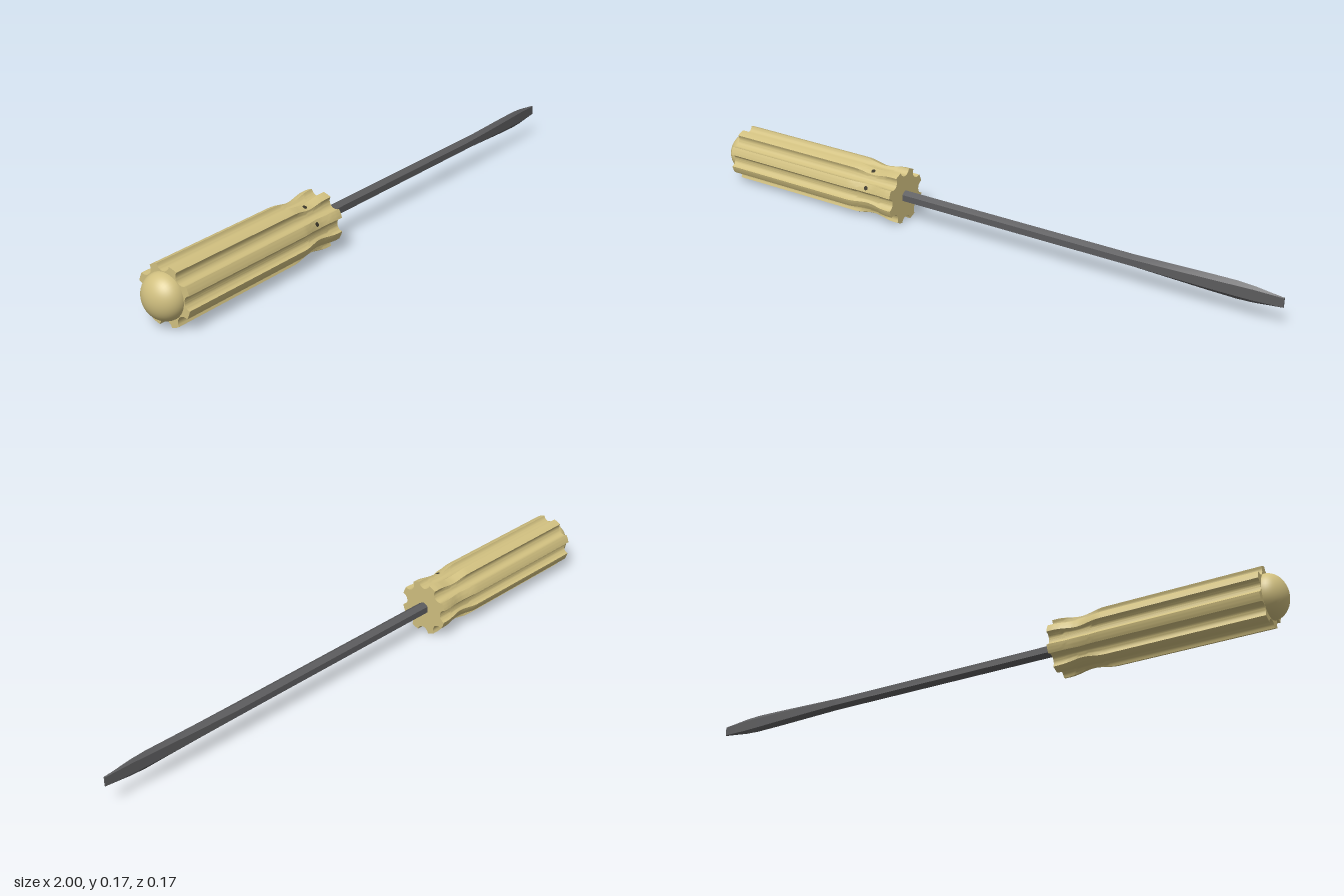
import * as THREE from 'three';
import { toCreasedNormals } from 'three/addons/utils/BufferGeometryUtils.js';

const AXIS_Y = 0.0875;

// Skins a row of cross-sections { x, pts: [[y, z], ...] } along x and caps both ends
function loft(sections, crease) {
  const n = sections[0].pts.length;
  const pos = [], idx = [];
  for (const s of sections) for (const [y, z] of s.pts) pos.push(s.x, y, z);
  for (let i = 0; i < sections.length - 1; i++) {
    for (let j = 0; j < n; j++) {
      const a = i * n + j, b = i * n + (j + 1) % n;
      idx.push(a, b, a + n, b, b + n, a + n);
    }
  }
  const last = (sections.length - 1) * n, c0 = pos.length / 3, c1 = c0 + 1;
  pos.push(sections[0].x, 0, 0, sections[sections.length - 1].x, 0, 0);
  for (let j = 0; j < n; j++) {
    const k = (j + 1) % n;
    idx.push(c0, k, j, c1, last + j, last + k);
  }
  const g = new THREE.BufferGeometry();
  g.setAttribute('position', new THREE.Float32BufferAttribute(pos, 3));
  g.setIndex(idx);
  return toCreasedNormals(g, crease);
}

// Round section of radius R with eight scooped flutes
function flutedSection(R) {
  const c = 0.092, q = 0.022, pts = [];
  const phi = Math.acos((R * R + c * c - q * q) / (2 * R * c));
  const beta = Math.atan2(R * Math.sin(phi), c - R * Math.cos(phi));
  for (let k = 0; k < 8; k++) {
    const turn = k * Math.PI / 4, cs = Math.cos(turn), sn = Math.sin(turn);
    const add = (y, z) => pts.push([y * cs - z * sn, y * sn + z * cs]);
    for (let i = 0; i <= 10; i++) {
      const t = beta * (i / 5 - 1);
      add(c - q * Math.cos(t), q * Math.sin(t));
    }
    for (let i = 1; i < 5; i++) {
      const a = phi + (Math.PI / 4 - 2 * phi) * i / 5;
      add(R * Math.cos(a), R * Math.sin(a));
    }
  }
  return pts;
}

// Six-sided section: points up and down, flats to front and back
const hexSection = (h, shoulder, w) =>
  [[h, 0], [shoulder, w], [-shoulder, w], [-h, 0], [-shoulder, -w], [shoulder, -w]];

export function createModel() {
  const group = new THREE.Group();
  const handleMat = new THREE.MeshStandardMaterial({ color: 0xd1c080 });
  const steelMat = new THREE.MeshStandardMaterial({ color: 0x5c5c5e });
  const holeMat = new THREE.MeshStandardMaterial({ color: 0x3a3629 });
  const add = (name, geometry, material) => {
    const mesh = new THREE.Mesh(geometry, material);
    mesh.name = name;
    group.add(mesh);
    return mesh;
  };

  // Fluted handle with a shallow waist near the front
  const stations = [{ x: -0.945, pts: flutedSection(0.09) }];
  for (let i = 0; i <= 16; i++) {
    const t = i / 16;
    const R = 0.09 - 0.01 * Math.sin(Math.PI * t) ** 2;
    stations.push({ x: -0.46 + 0.16 * t, pts: flutedSection(R) });
  }
  stations.push({ x: -0.285, pts: flutedSection(0.09) });
  add('handle', loft(stations, 0.5), handleMat);

  // Rounded butt
  const dome = new THREE.SphereGeometry(1, 40, 14, 0, Math.PI * 2, 0, Math.PI / 2);
  dome.scale(0.068, 0.055, 0.068);
  dome.rotateZ(Math.PI / 2);
  dome.translate(-0.945, 0, 0);
  add('buttCap', dome, handleMat);

  // Small holes in the waist
  for (const a of [22.5, 67.5]) {
    const angle = THREE.MathUtils.degToRad(a);
    const hole = add('waistHole', new THREE.CylinderGeometry(0.007, 0.007, 0.01, 16), holeMat);
    hole.position.set(-0.387, Math.cos(angle) * 0.0758, Math.sin(angle) * 0.0758);
    hole.rotation.x = angle;
  }

  // Hexagonal shaft, flaring and thinning into the flat blade
  const blade = [
    [-0.3, 0.0205, 0.0103, 0.0175], [0.53, 0.0205, 0.0103, 0.0175],
    [0.65, 0.024, 0.0125, 0.0155], [0.77, 0.0275, 0.015, 0.0125],
    [0.86, 0.029, 0.0165, 0.0095], [0.91, 0.0265, 0.017, 0.007],
    [0.96, 0.0205, 0.0155, 0.0045], [1, 0.016, 0.0145, 0.0025],
  ];
  add('shaftAndBlade',
    loft(blade.map(([x, h, s, w]) => ({ x, pts: hexSection(h, s, w) })), 0.35), steelMat);

  group.children.forEach((m) => { m.position.y += AXIS_Y; });
  return group;
}
